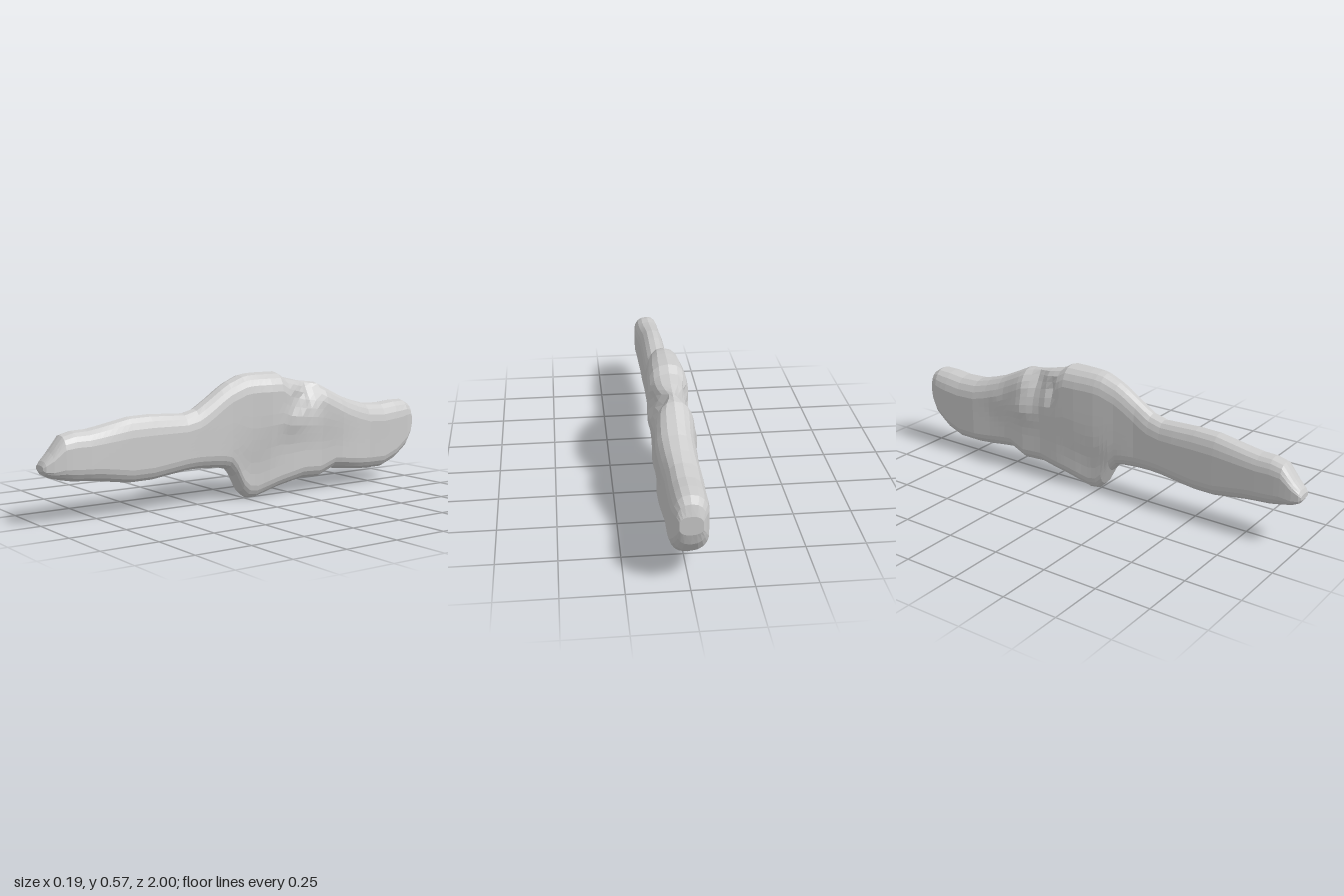
import * as THREE from 'three';

// Side outline: [z, bottom, top]
const outline = [
  [1, 0.225, 0.25], [0.99, 0.208, 0.267], [0.96, 0.193, 0.3], [0.91, 0.18, 0.365], [0.86, 0.17, 0.378],
  [0.8, 0.165, 0.38], [0.75, 0.16, 0.388], [0.6, 0.137, 0.417], [0.5, 0.138, 0.42], [0.33, 0.16, 0.412],
  [0.27, 0.163, 0.428], [0.2, 0.16, 0.472], [0.14, 0.155, 0.512], [0.1, 0.145, 0.535], [0.07, 0.11, 0.547],
  [0.03, 0.035, 0.563], [0, 0.007, 0.568], [-0.04, 0.002, 0.57], [-0.1, 0.02, 0.57], [-0.16, 0.037, 0.57],
  [-0.2, 0.045, 0.545], [-0.3, 0.064, 0.522], [-0.4, 0.06, 0.51], [-0.48, 0.093, 0.47], [-0.55, 0.085, 0.437],
  [-0.63, 0.075, 0.41], [-0.7, 0.07, 0.392], [-0.8, 0.07, 0.387], [-0.88, 0.1, 0.395], [-0.95, 0.15, 0.395],
  [-0.985, 0.2, 0.375], [-1, 0.25, 0.33],
];

// Plan outline: [z, right extent, left extent]
const plan = [
  [1, 0.03, 0.035], [0.985, 0.04, 0.048], [0.95, 0.046, 0.056], [0.9, 0.05, 0.065], [0.8, 0.053, 0.068],
  [0.6, 0.055, 0.058], [0.4, 0.054, 0.06], [0.2, 0.047, 0.063], [0.1, 0.056, 0.063], [0, 0.071, 0.073],
  [-0.1, 0.08, 0.086], [-0.22, 0.085, 0.088], [-0.3, 0.079, 0.085], [-0.4, 0.084, 0.08], [-0.52, 0.073, 0.09],
  [-0.6, 0.076, 0.083], [-0.7, 0.084, 0.07], [-0.9, 0.08, 0.07], [-0.97, 0.07, 0.065], [-1, 0.045, 0.045],
];

// Rounded edge of the section: [share of half width, share of corner height]
const corner = [[0, 0], [0.45, 0.09], [0.73, 0.31], [0.91, 0.63], [1, 1]];
const SIDE_STEPS = 8;

function sample(table, z) {
  let i = 0;
  while (i < table.length - 2 && table[i + 1][0] > z) i++;
  const a = table[i], b = table[i + 1];
  const t = THREE.MathUtils.clamp((z - a[0]) / (b[0] - a[0]), 0, 1);
  return [a[1] + (b[1] - a[1]) * t, a[2] + (b[2] - a[2]) * t];
}

const bump = (d, width) => Math.exp(-(d * d) / (width * width));

// Pits in the shoulders of the back and bulges under them: [side, z, y, amount, z spread, y spread]
const dents = [
  [1, -0.34, 0.51, -0.055, 0.05, 0.09], [-1, -0.33, 0.51, -0.055, 0.05, 0.09],
  [1, -0.25, 0.44, -0.03, 0.025, 0.05], [-1, -0.24, 0.45, -0.035, 0.025, 0.055],
  [1, -0.22, 0.35, 0.009, 0.06, 0.05], [-1, -0.4, 0.32, 0.015, 0.06, 0.055],
  [-1, -0.52, 0.32, 0.006, 0.07, 0.05],
];

// Half a section from top to bottom, on side s (+1 left, -1 right)
function halfSection(z, s) {
  const [bottom, top] = sample(outline, z);
  const [right, left] = sample(plan, z);
  const w = s > 0 ? left : right;
  const h = top - bottom;
  const c = Math.min(0.085, h * 0.3), cLow = Math.min(0.06, h * 0.27);
  const points = corner.map(([u, v]) => [u, top - c * v]);
  for (let k = 1; k < SIDE_STEPS; k++) points.push([1, top - c - (h - c - cLow) * k / SIDE_STEPS]);
  for (const [u, v] of [...corner].reverse()) points.push([u, bottom + cLow * v]);
  return points.map(([u, y]) => {
    // the body thins downwards, most of all at the belly lobe
    const under = THREE.MathUtils.smoothstep(0.36 - y, 0, 0.16) * bump(z + 0.22, 0.28);
    const lobe = THREE.MathUtils.smoothstep(0.26 - y, 0, 0.14) * bump(z, 0.12);
    let x = u * w * (1 - (s > 0 ? 0.2 : 0.08) * under - 0.16 * lobe);
    for (const [side, dz, dy, amount, sz, sy] of dents) {
      if (side === s) x += u * amount * bump(z - dz, sz) * bump(y - dy, sy);
    }
    return [s * Math.max(x, u * 0.015), y, z];
  });
}

function bodyGeometry() {
  // Extra sections between the outline points
  const stations = [];
  outline.forEach(([z], i) => {
    stations.push(z);
    if (i === outline.length - 1) return;
    const gap = z - outline[i + 1][0], n = Math.ceil(gap / 0.035 - 1e-6);
    for (let k = 1; k < n; k++) stations.push(z - gap * k / n);
  });

  const positions = [], index = [];
  let n = 0;
  for (const z of stations) {
    const ring = [...halfSection(z, 1), ...halfSection(z, -1).reverse().slice(1, -1)];
    n = ring.length;
    ring.forEach((p) => positions.push(...p));
  }
  for (let i = 0; i < stations.length - 1; i++) {
    for (let j = 0; j < n; j++) {
      const k = (j + 1) % n;
      const a = i * n + j, b = i * n + k, c = a + n, d = b + n;
      index.push(a, b, c, b, d, c);
    }
  }

  // Close both ends
  const last = (stations.length - 1) * n, front = stations.length * n;
  positions.push(0, 0.237, 1, 0, 0.29, -1);
  for (let j = 0; j < n; j++) {
    const k = (j + 1) % n;
    index.push(front, k, j, front + 1, last + j, last + k);
  }

  const geometry = new THREE.BufferGeometry();
  geometry.setAttribute('position', new THREE.Float32BufferAttribute(positions, 3));
  geometry.setIndex(index);
  geometry.computeVertexNormals();
  return geometry;
}

export function createModel() {
  const group = new THREE.Group();
  const material = new THREE.MeshStandardMaterial({ color: 0xcccccc, flatShading: true });
  const body = new THREE.Mesh(bodyGeometry(), material);
  body.name = 'body';
  group.add(body);
  return group;
}
